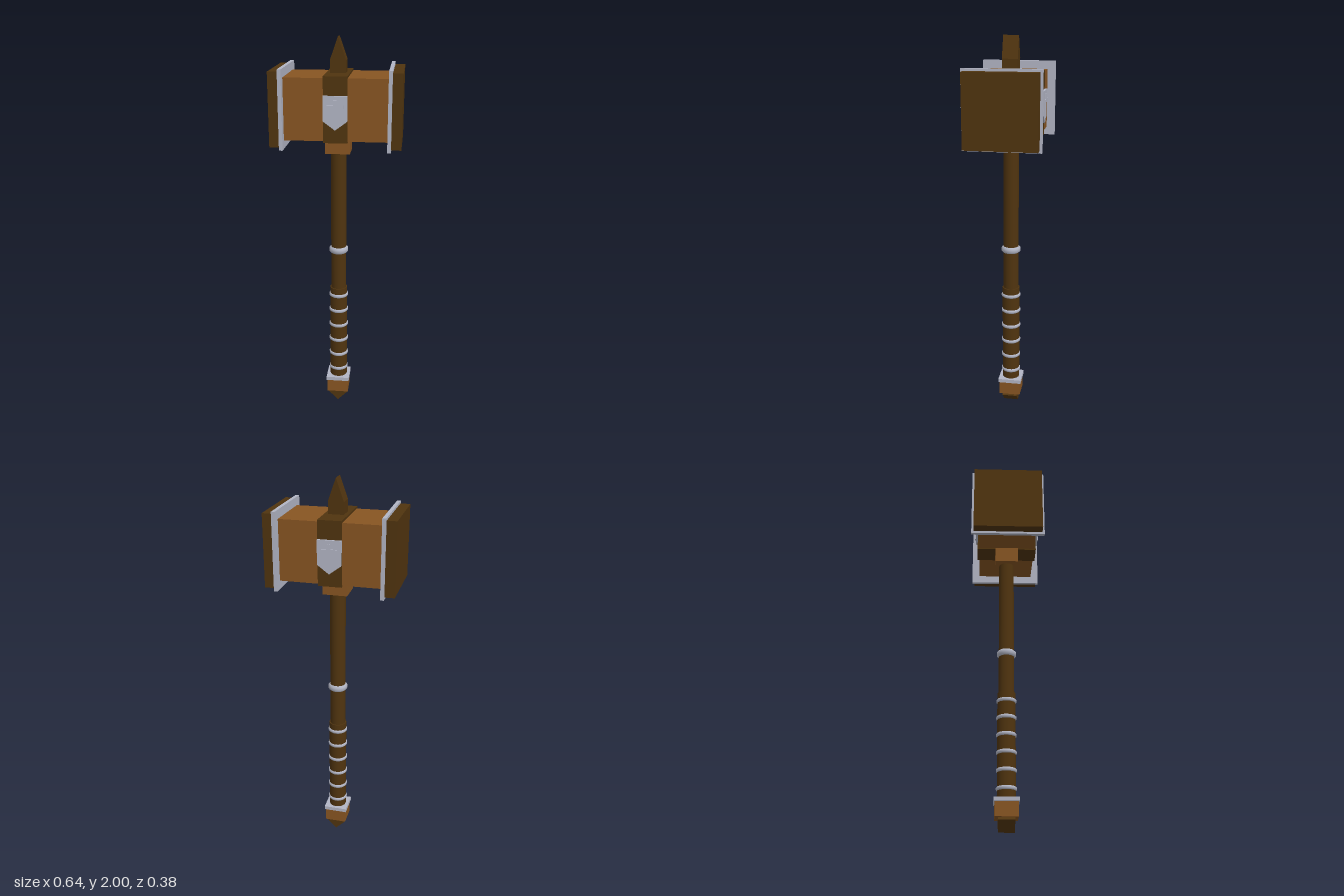
import * as THREE from 'three';

const mat = (name, color) => {
  const m = new THREE.MeshStandardMaterial({ color });
  m.name = name;
  return m;
};

export function createModel() {
  const dark = mat('dark wood', 0x50340f);
  const light = mat('light wood', 0x875522);
  const metal = mat('grey metal', 0xb2b5c4);
  const model = new THREE.Group();
  model.name = 'warHammer';

  const add = (name, geometry, material, parent = model) => {
    const mesh = new THREE.Mesh(geometry, material);
    mesh.name = name;
    parent.add(mesh);
    return mesh;
  };
  // box given by half width, bottom, top and half depth
  const box = (name, hx, y0, y1, hz, material, x = 0) => {
    const g = new THREE.BoxGeometry(hx * 2, y1 - y0, hz * 2);
    return add(name, g.translate(x, (y0 + y1) / 2, 0), material);
  };
  const rod = (name, r, y0, y1, material) => {
    const g = new THREE.CylinderGeometry(r, r, y1 - y0, 24);
    return add(name, g.translate(0, (y0 + y1) / 2, 0), material);
  };
  // outline in x and y, extruded along z from z0 to z1
  const plate = (points, z0, z1) => new THREE.ExtrudeGeometry(
    new THREE.Shape(points.map(([x, y]) => new THREE.Vector2(x, y))),
    { depth: z1 - z0, bevelEnabled: false }
  ).translate(0, 0, z0);
  // metal ring with chamfered rims
  const ring = (name, y, r, h) => {
    const c = h * 0.25, a = h / 2;
    const profile = [[0.038, -a], [r - c, -a], [r, -a + c], [r, a - c], [r - c, a], [0.038, a]];
    const g = new THREE.LatheGeometry(profile.map(([px, py]) => new THREE.Vector2(px, py)), 24);
    add(name, g.translate(0, y, 0), metal);
  };

  // head
  box('headBlock', 0.252, 1.52, 1.82, 0.15, light);
  box('headBand', 0.058, 1.513, 1.83, 0.16, dark);
  for (const s of [-1, 1]) {
    box('headTrim', 0.009, 1.478, 1.862, 0.192, metal, s * 0.26);
    box('strikingFace', 0.025, 1.49, 1.85, 0.18, dark, s * 0.293);
  }
  add('topSpike', plate(
    [[-0.039, 1.82], [0.039, 1.82], [0.039, 1.89], [0, 2], [-0.039, 1.89]], -0.039, 0.039), dark);

  // shields with raised crosses on front and back
  for (const turn of [0, Math.PI]) {
    const emblem = new THREE.Group();
    emblem.name = 'shieldEmblem';
    emblem.rotation.y = turn;
    model.add(emblem);
    add('shield', plate(
      [[-0.058, 1.74], [-0.058, 1.62], [0, 1.577], [0.058, 1.62], [0.058, 1.74]], 0.155, 0.171),
    metal, emblem);
    const w = 0.008, a = 0.04;
    add('shieldCross', plate([
      [-w, 1.61], [w, 1.61], [w, 1.682], [a, 1.682], [a, 1.698], [w, 1.698],
      [w, 1.722], [-w, 1.722], [-w, 1.698], [-a, 1.698], [-a, 1.682], [-w, 1.682]
    ], 0.171, 0.177), metal, emblem);
  }

  // handle
  box('neckBlock', 0.062, 1.436, 1.522, 0.062, light);
  rod('shaft', 0.04, 0.13, 1.45, dark);
  rod('grip', 0.046, 0.14, 0.69, dark);
  ring('shaftRing', 0.907, 0.05, 0.034);
  for (let i = 0; i < 6; i++) ring('gripRing', 0.204 + i * 0.0886, 0.051, 0.019);

  // pommel
  box('pommelTrim', 0.062, 0.136, 0.156, 0.062, metal);
  box('pommelBlock', 0.057, 0.065, 0.137, 0.057, light);
  add('pommelPoint', plate([[0, 0], [0.052, 0.052], [0, 0.104], [-0.052, 0.052]], -0.04, 0.04), dark);

  return model;
}
